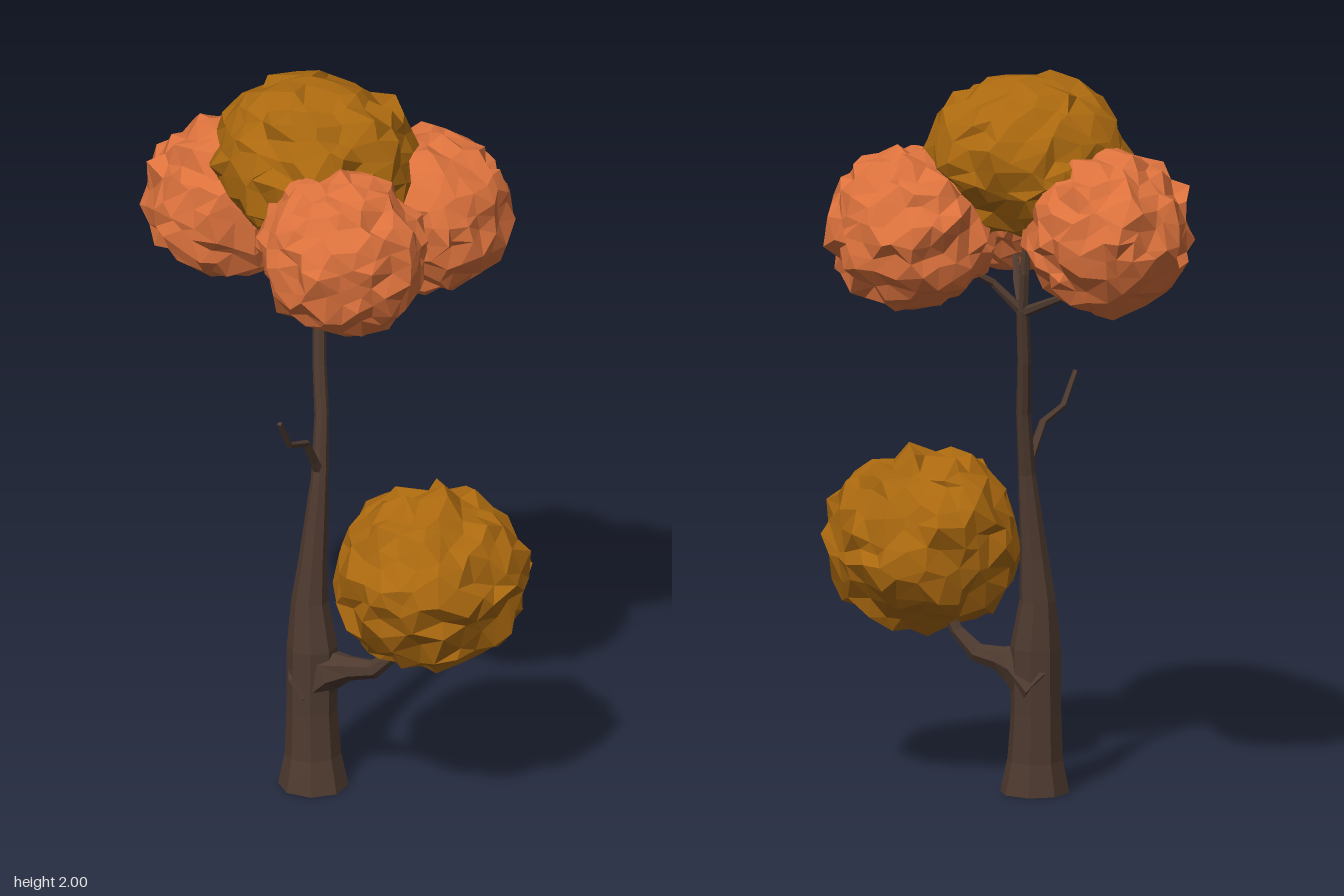
import * as THREE from 'three';
import { mergeVertices } from 'three/addons/utils/BufferGeometryUtils.js';

const material = (color) =>
  new THREE.MeshStandardMaterial({ color, flatShading: true, roughness: 1 });
const bark = material(0x4e3a2f);
const orange = material(0xdc723d);
const gold = material(0xab690f);

// Small seeded generator giving values in -1..1
function seeded(seed) {
  let s = seed * 7919 + 17;
  return () => {
    s = (s * 16807) % 2147483647;
    return (s / 2147483647) * 2 - 1;
  };
}

// Tapered, capped limb through points [x, y, z, radius]
function limb(name, points, sides) {
  const up = new THREE.Vector3(0, 1, 0);
  const centres = points.map((p) => new THREE.Vector3(p[0], p[1], p[2]));
  const pos = [];
  const index = [];
  const last = points.length - 1;
  centres.forEach((c, i) => {
    const dir = centres[Math.min(i + 1, last)].clone()
      .sub(centres[Math.max(i - 1, 0)]).normalize();
    const turn = new THREE.Quaternion().setFromUnitVectors(up, dir);
    for (let j = 0; j < sides; j++) {
      const a = ((j + 0.5) / sides) * Math.PI * 2;
      const v = new THREE.Vector3(Math.sin(a), 0, Math.cos(a))
        .multiplyScalar(points[i][3]).applyQuaternion(turn).add(c);
      if (i === 0 && points[0][1] === 0) v.y = 0;
      pos.push(v.x, v.y, v.z);
      if (i < last) {
        const k = (j + 1) % sides;
        const [p, q, r, s] = [i * sides + j, i * sides + k, (i + 1) * sides + k, (i + 1) * sides + j];
        index.push(p, q, r, p, r, s);
      }
    }
  });
  for (let j = 1; j < sides - 1; j++) {
    index.push(0, j + 1, j);
    index.push(last * sides, last * sides + j, last * sides + j + 1);
  }
  const geo = new THREE.BufferGeometry();
  geo.setAttribute('position', new THREE.Float32BufferAttribute(pos, 3));
  geo.setIndex(index);
  geo.computeVertexNormals();
  const mesh = new THREE.Mesh(geo, bark);
  mesh.name = name;
  return mesh;
}

// Rough faceted ball of leaves
function foliage(name, [x, y, z], [rx, ry, rz], mat, seed) {
  let geo = new THREE.IcosahedronGeometry(1, 4);
  geo.deleteAttribute('normal');
  geo.deleteAttribute('uv');
  geo = mergeVertices(geo, 1e-3);
  const rand = seeded(seed);
  const p = geo.attributes.position;
  const v = new THREE.Vector3();
  for (let i = 0; i < p.count; i++) {
    v.fromBufferAttribute(p, i);
    v.x += rand() * 0.085;
    v.y += rand() * 0.085;
    v.z += rand() * 0.085;
    p.setXYZ(i, v.x, v.y, v.z);
  }
  geo.rotateY(seed);
  geo.scale(rx, ry, rz);
  geo.computeVertexNormals();
  const mesh = new THREE.Mesh(geo, mat);
  mesh.name = name;
  mesh.position.set(x, y, z);
  return mesh;
}

export function createModel() {
  const tree = new THREE.Group();
  tree.name = 'tree';

  // Trunk, flared at the foot and leaning back towards the crown
  tree.add(limb('trunk', [
    [-0.025, 0, 0.115, 0.095],
    [-0.028, 0.09, 0.112, 0.076],
    [-0.032, 0.22, 0.11, 0.069],
    [-0.032, 0.4, 0.108, 0.069],
    [-0.042, 0.53, 0.103, 0.05],
    [-0.036, 0.65, 0.095, 0.039],
    [-0.027, 0.88, 0.073, 0.024],
    [-0.036, 1.05, 0.043, 0.02],
    [-0.058, 1.2, 0.014, 0.019],
    [-0.07, 1.35, -0.012, 0.018],
  ], 8));

  // Thick low branch and bare twig
  tree.add(limb('lowBranch', [
    [-0.05, 0.29, 0.108, 0.075],
    [0.02, 0.345, 0.106, 0.06],
    [0.08, 0.355, 0.102, 0.034],
    [0.15, 0.365, 0.098, 0.026],
    [0.21, 0.42, 0.09, 0.018],
    [0.28, 0.55, 0.085, 0.01],
  ], 7));
  tree.add(limb('bareTwig', [
    [-0.028, 0.89, 0.068, 0.016],
    [-0.03, 0.94, 0.1, 0.013],
    [-0.03, 1.01, 0.148, 0.011],
    [-0.034, 1.04, 0.24, 0.009],
    [-0.035, 1.125, 0.297, 0.007],
  ], 5));

  // Branches fanning into the crown
  const fork = [-0.07, 1.34, -0.01, 0.015];
  const crown = {
    crownBranchRight: [[-0.22, 1.405, -0.025, 0.009], [-0.34, 1.52, -0.04, 0.006]],
    crownBranchFront: [[-0.01, 1.41, 0.05, 0.011], [0.08, 1.54, 0.17, 0.006]],
    crownBranchBack: [[0.0, 1.42, -0.05, 0.011], [0.11, 1.52, -0.18, 0.006]],
    crownBranchTop: [[-0.085, 1.45, -0.025, 0.014], [-0.09, 1.66, -0.02, 0.008]],
  };
  for (const [name, rest] of Object.entries(crown)) tree.add(limb(name, [fork, ...rest], 6));

  // Leaves
  tree.add(
    foliage('lowFoliage', [0.312, 0.66, 0.083], [0.258, 0.245, 0.255], gold, 1),
    foliage('topFoliage', [-0.093, 1.775, -0.02], [0.27, 0.217, 0.262], gold, 2),
    foliage('rightFoliage', [-0.365, 1.6, -0.045], [0.227, 0.22, 0.225], orange, 3),
    foliage('frontFoliage', [0.115, 1.625, 0.22], [0.225, 0.217, 0.217], orange, 4),
    foliage('backFoliage', [0.148, 1.585, -0.225], [0.222, 0.217, 0.217], orange, 5),
  );
  return tree;
}
